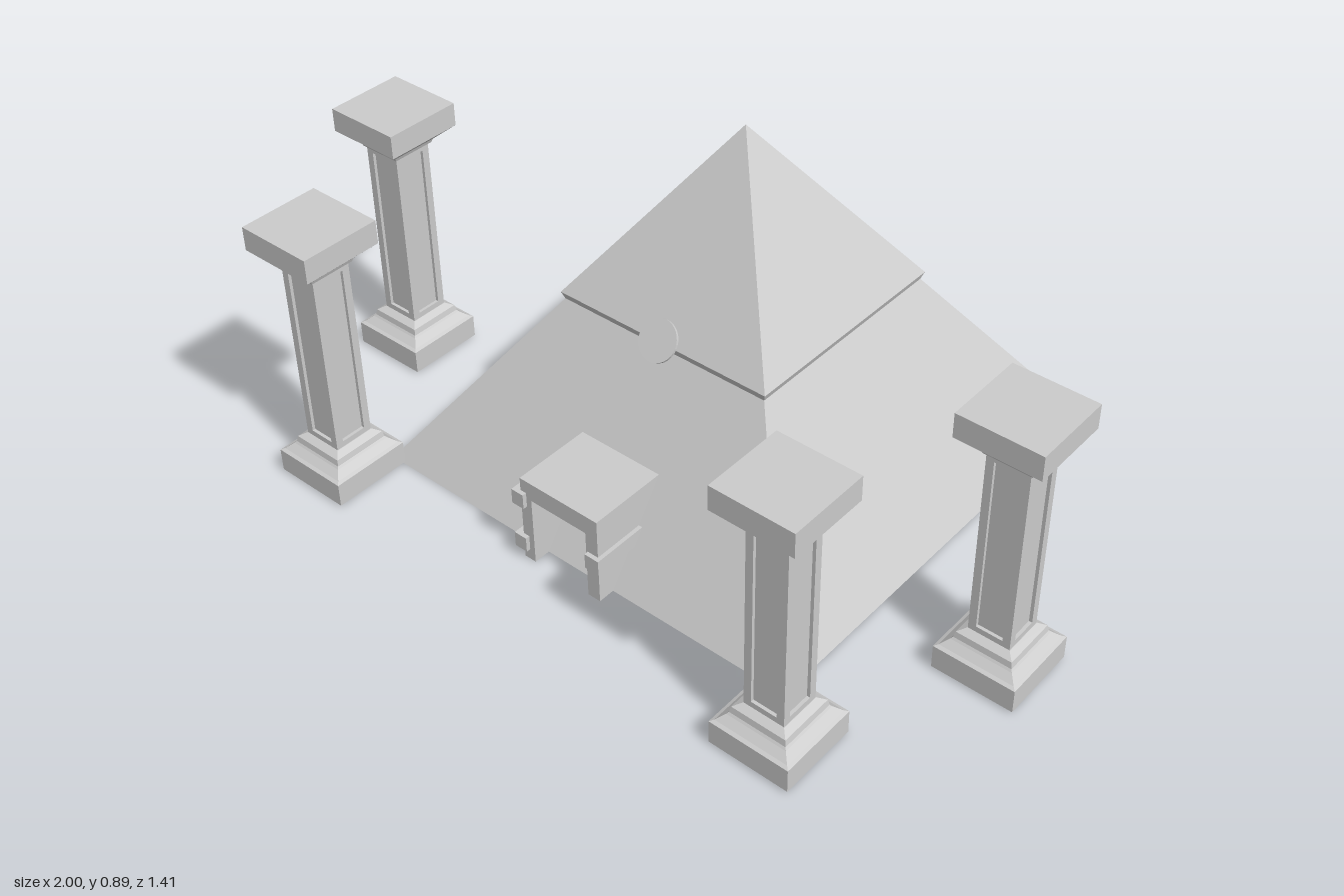
import * as THREE from 'three';

const mat = new THREE.MeshStandardMaterial({ color: 0xcccccc, flatShading: true });

function add(parent, name, geometry, x = 0, y = 0, z = 0) {
  const mesh = new THREE.Mesh(geometry, mat);
  mesh.name = name;
  mesh.position.set(x, y, z);
  parent.add(mesh);
  return mesh;
}

// Box given by its minimum and maximum corners
function block(parent, name, [x0, y0, z0], [x1, y1, z1]) {
  return add(parent, name, new THREE.BoxGeometry(x1 - x0, y1 - y0, z1 - z0),
    (x0 + x1) / 2, (y0 + y1) / 2, (z0 + z1) / 2);
}

// Square solid from [half width, height] pairs, listed bottom to top
function squareLathe(profile) {
  const pts = profile.map(([h, y]) => new THREE.Vector2(h * Math.SQRT2, y));
  const geo = new THREE.LatheGeometry(pts, 4, Math.PI / 4).toNonIndexed();
  geo.computeVertexNormals();
  return geo;
}

function createColumn() {
  const column = new THREE.Group();
  column.name = 'column';
  add(column, 'columnBase', squareLathe([
    [0, 0.005], [0.1025, 0.005], [0.1025, 0.066], [0.094, 0.07], [0.077, 0.085],
    [0.073, 0.09], [0.07, 0.105], [0.053, 0.115], [0, 0.115]]));
  add(column, 'columnCapital', squareLathe([
    [0, 0.6], [0.058, 0.6], [0.062, 0.61], [0.1025, 0.645], [0.1025, 0.706], [0, 0.706]]));

  // Shaft with a sunken panel on each side
  add(column, 'shaftCore', new THREE.BoxGeometry(0.088, 0.49, 0.088), 0, 0.357, 0);
  for (const sx of [-1, 1]) for (const sz of [-1, 1])
    add(column, 'shaftCorner', new THREE.BoxGeometry(0.019, 0.49, 0.019), sx * 0.0425, 0.357, sz * 0.0425);
  block(column, 'shaftLowerBand', [-0.052, 0.112, -0.052], [0.052, 0.13, 0.052]);
  block(column, 'shaftUpperBand', [-0.052, 0.585, -0.052], [0.052, 0.602, 0.052]);
  return column;
}

function createDoorway() {
  const door = new THREE.Group();
  door.name = 'doorway';
  // Jambs and lintel run back into the sloping wall
  block(door, 'leftJamb', [0.08, 0, 0.33], [0.115, 0.185, 0.545]);
  block(door, 'rightJamb', [-0.115, 0, 0.33], [-0.083, 0.185, 0.545]);
  block(door, 'lintel', [-0.115, 0.185, 0.3], [0.115, 0.235, 0.545]);
  // Protruding stones
  block(door, 'leftStone', [0.085, 0.093, 0.36], [0.125, 0.133, 0.556]);
  for (const y of [0.03, 0.16])
    block(door, 'rightStone', [-0.133, y, 0.36], [-0.098, y + 0.04, 0.556]);
  return door;
}

export function createModel() {
  const model = new THREE.Group();
  model.name = 'pyramidTemple';

  // Pyramid with a slightly overhanging upper part
  add(model, 'pyramid', squareLathe([
    [0, 0], [0.602, 0], [0.293, 0.447], [0.3, 0.466], [0, 0.89]]), 0, 0, -0.1);

  // Round plate lying on the front slope
  const disc = add(model, 'disc', new THREE.CylinderGeometry(0.051, 0.051, 0.007, 32), 0, 0.473, 0.203);
  disc.rotation.x = 0.95;

  model.add(createDoorway());

  // Two columns on each side
  for (const side of [-1, 1]) for (const [x, z] of [[0.8975, 0.137], [0.665, 0.602]]) {
    const column = createColumn();
    column.position.set(side * x, 0, z);
    model.add(column);
  }
  return model;
}
